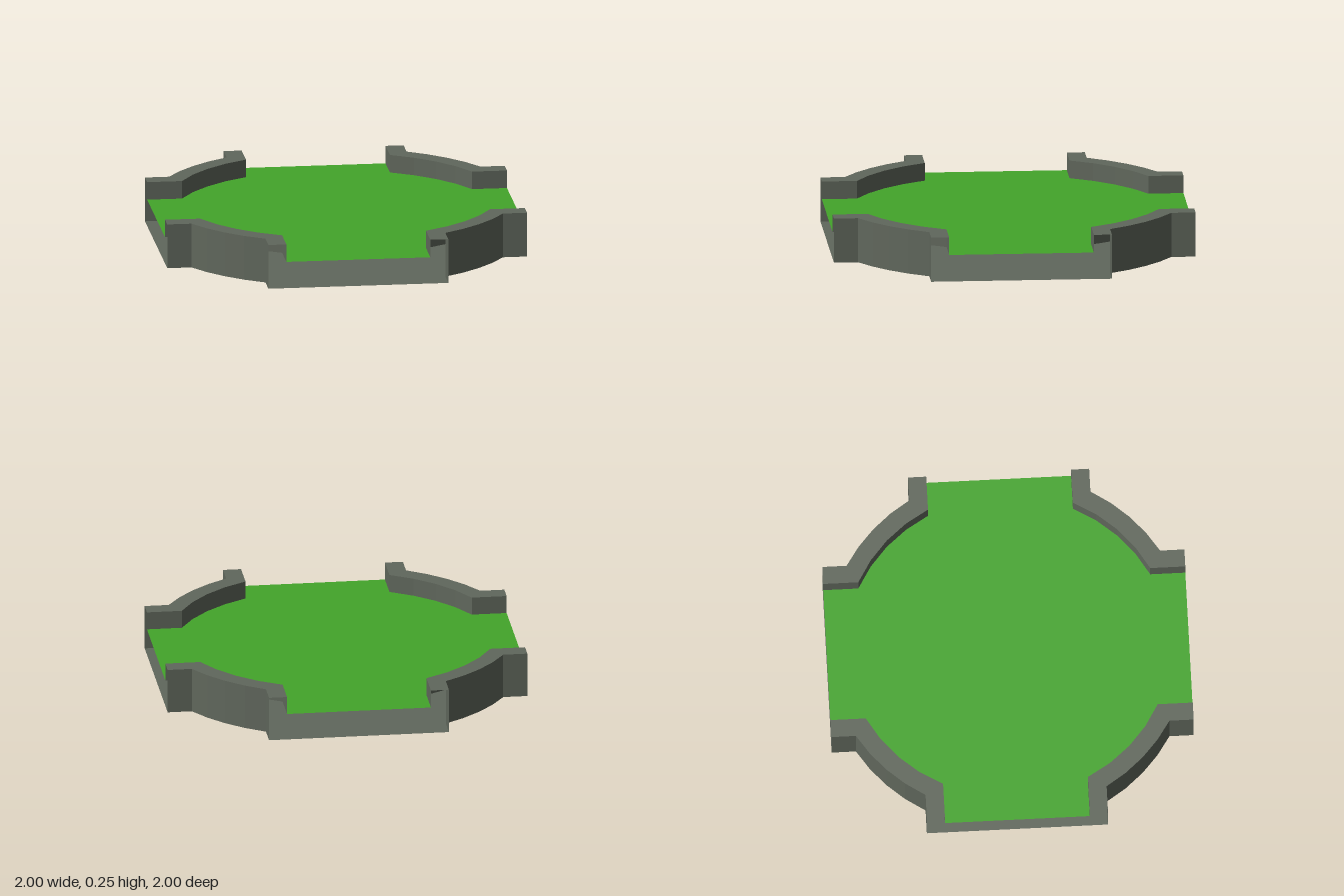
import * as THREE from 'three';

const FLOOR = 0.15, TOP = 0.25, ARC_STEPS = 4;

const stone = new THREE.MeshStandardMaterial({ color: 0x60675c, side: THREE.DoubleSide, flatShading: true });
const grass = new THREE.MeshStandardMaterial({ color: 0x43a52a, side: THREE.DoubleSide, flatShading: true });

// One quadrant of the outline: straight opening side, arc, straight opening side
function quadrantPath(radius, halfOpening) {
  const start = Math.asin(halfOpening / radius);
  const sweep = Math.PI / 2 - 2 * start;
  const points = [new THREE.Vector2(1, halfOpening)];
  for (let i = 0; i <= ARC_STEPS; i++) {
    const a = start + (sweep * i) / ARC_STEPS;
    points.push(new THREE.Vector2(radius * Math.cos(a), radius * Math.sin(a)));
  }
  points.push(new THREE.Vector2(halfOpening, 1));
  return points;
}

const outer = quadrantPath(1, 0.5);
const inner = quadrantPath(0.9, 0.4);

// Band of quads between two paths at given heights
function band(pathA, yA, pathB, yB) {
  const pos = [];
  for (let i = 0; i < pathA.length - 1; i++) {
    const a0 = [pathA[i].x, yA, pathA[i].y], a1 = [pathA[i + 1].x, yA, pathA[i + 1].y];
    const b0 = [pathB[i].x, yB, pathB[i].y], b1 = [pathB[i + 1].x, yB, pathB[i + 1].y];
    pos.push(...a0, ...a1, ...b1, ...a0, ...b1, ...b0);
  }
  const g = new THREE.BufferGeometry();
  g.setAttribute('position', new THREE.Float32BufferAttribute(pos, 3));
  g.computeVertexNormals();
  return g;
}

// Full flat outline made of the quadrant path turned four times
function slab(path, y, facing) {
  const points = [];
  for (let k = 0; k < 4; k++) {
    for (const p of path) points.push(p.clone().rotateAround(new THREE.Vector2(), (k * Math.PI) / 2));
  }
  const g = new THREE.ShapeGeometry(new THREE.Shape(points));
  g.rotateX((-facing * Math.PI) / 2);
  g.translate(0, y, 0);
  return g;
}

function add(parent, name, geometry, material) {
  const mesh = new THREE.Mesh(geometry, material);
  mesh.name = name;
  parent.add(mesh);
}

export function createModel() {
  const model = new THREE.Group();
  model.name = 'crossroadsTile';

  add(model, 'floor', slab(inner, FLOOR, 1), grass);
  add(model, 'underside', slab(outer, 0, -1), stone);

  // Four hollow corner walls, open at the ends like the passages
  const outerFace = band(outer, TOP, outer, 0);
  const innerFace = band(inner, FLOOR, inner, TOP);
  const rim = band(inner, TOP, outer, TOP);
  for (let k = 0; k < 4; k++) {
    const wall = new THREE.Group();
    wall.name = 'cornerWall' + (k + 1);
    add(wall, 'outerFace', outerFace, stone);
    add(wall, 'innerFace', innerFace, stone);
    add(wall, 'rim', rim, stone);
    wall.rotation.y = (k * Math.PI) / 2;
    model.add(wall);
  }
  return model;
}
